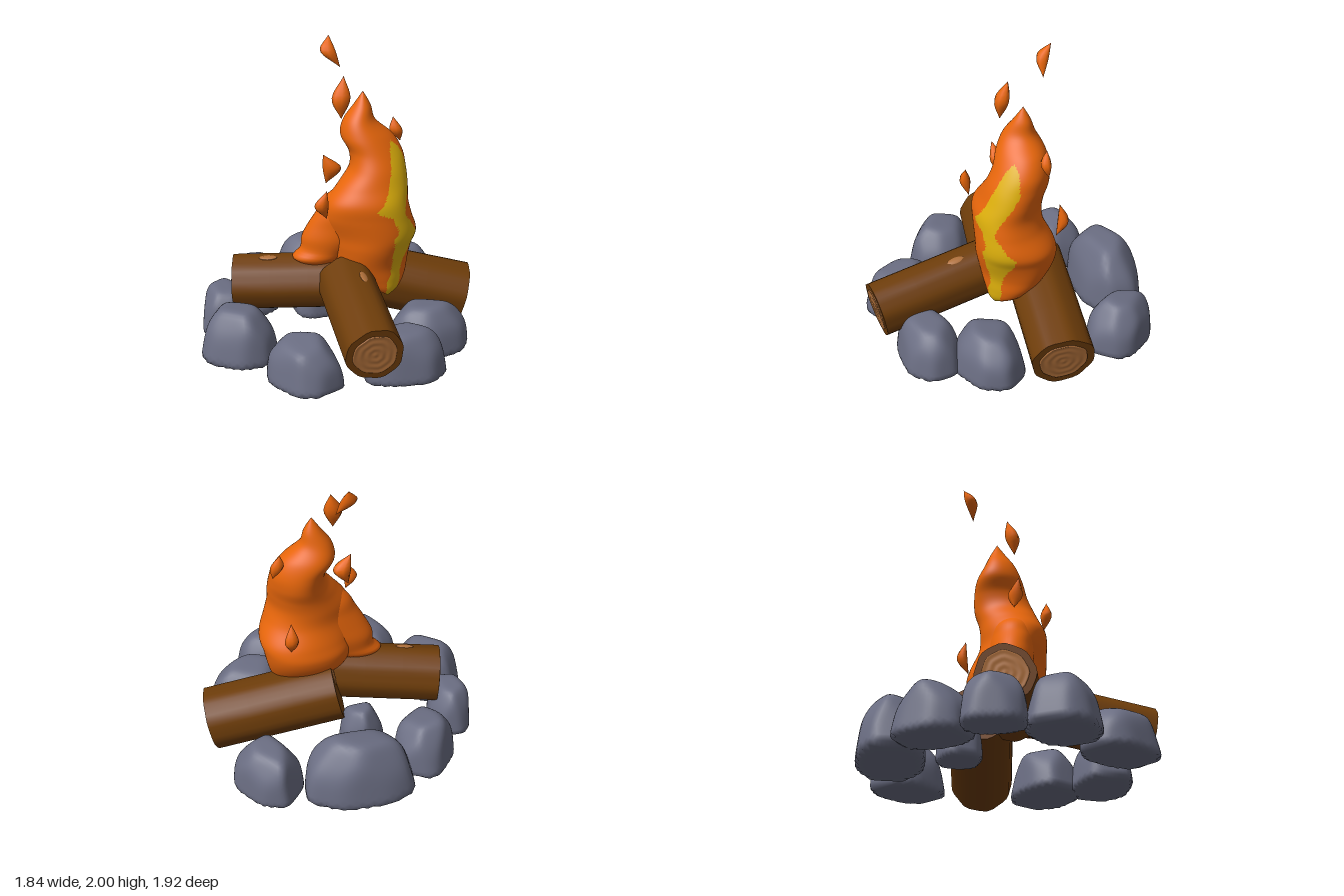
import * as THREE from 'three';
import { mergeVertices, toCreasedNormals } from 'three/addons/utils/BufferGeometryUtils.js';

const paint = (name, color, side = THREE.FrontSide) => {
  const m = new THREE.MeshStandardMaterial({ color, side });
  m.name = name;
  return m;
};

function seeded(seed) {
  let s = seed * 7919 + 13;
  return () => (s = (s * 16807) % 2147483647) / 2147483647;
}

// Interpolates table rows whose first number is the height
function table(rows, Kind) {
  const n = rows[0].length - 1;
  return new Kind(new Float32Array(rows.map(r => r[0])), new Float32Array(rows.flatMap(r => r.slice(1))), n);
}

// Closed skin through rows of [y, xMin, xMax, zMin, zMax]; faces where inPatch is true go to material 1
function loft(rows, segs, steps, ripple = 0, inPatch = () => false) {
  const curve = table(rows, THREE.CubicInterpolant);
  const y0 = rows[0][0], y1 = rows[rows.length - 1][0];
  const pos = [], faces = [[], []];
  for (let i = 0; i <= steps; i++) {
    const y = y0 + (y1 - y0) * i / steps;
    const [xa, xb, za, zb] = curve.evaluate(Math.min(y, y1 - 1e-5));
    const rx = Math.max(0, xb - xa) / 2, rz = Math.max(0, zb - za) / 2;
    for (let j = 0; j < segs; j++) {
      const a = j / segs * Math.PI * 2;
      const f = 1 + ripple * Math.sin(3 * a + 6 * y);
      pos.push((xa + xb) / 2 + rx * f * Math.cos(a), y, (za + zb) / 2 + rz * f * Math.sin(a));
    }
  }
  for (let i = 0; i < steps; i++) for (let j = 0; j < segs; j++) {
    const k = (j + 1) % segs;
    const a = i * segs + j, b = i * segs + k, c = a + segs, d = b + segs;
    for (const t of [[a, c, b], [b, c, d]]) {
      const mid = [0, 1, 2].map(n => t.reduce((s, v) => s + pos[v * 3 + n], 0) / 3);
      faces[inPatch(...mid) ? 1 : 0].push(...t);
    }
  }
  const g = new THREE.BufferGeometry();
  g.setAttribute('position', new THREE.Float32BufferAttribute(pos, 3));
  g.setIndex([...faces[0], ...faces[1]]);
  g.addGroup(0, faces[0].length, 0);
  g.addGroup(faces[0].length, faces[1].length, 1);
  g.computeVertexNormals();
  return g;
}

// Rounded boulder: a sphere pressed against side, bevel, top and bottom planes, fitted to its footprint
function stoneGeometry([x0, x1, z0, z1, h, turn, aspect], seed) {
  const rnd = seeded(seed);
  const planes = [[0, -1, 0, 0.42], [0.3 * (rnd() - 0.5), 1, 0.3 * (rnd() - 0.5), 0.8]];
  for (let k = 0; k < 8; k++) {
    const a = (k + 0.35 * (rnd() - 0.5)) / 8 * Math.PI * 2;
    planes.push([Math.cos(a), 0.05 + 0.22 * rnd(), Math.sin(a), 0.92 + (k % 2) * 0.08 + 0.08 * rnd()]);
  }
  for (let k = 0; k < 5; k++) {
    const a = (k + 0.6 * rnd()) / 5 * Math.PI * 2;
    planes.push([0.74 * Math.cos(a), 0.67, 0.74 * Math.sin(a), 0.86 + 0.1 * rnd()]);
  }
  let g = new THREE.IcosahedronGeometry(1, 9);
  g.deleteAttribute('uv');
  g.deleteAttribute('normal');
  g = mergeVertices(g, 1e-4);
  const p = g.attributes.position, v = new THREE.Vector3();
  for (let i = 0; i < p.count; i++) {
    v.fromBufferAttribute(p, i).normalize();
    const sum = planes.reduce((s, [a, b, c, d]) => s + Math.max(0, (v.x * a + v.y * b + v.z * c) / d) ** 14, 0);
    v.multiplyScalar(sum ** (-1 / 14));
    p.setXYZ(i, v.x, v.y, v.z);
  }
  g.scale(aspect, 1, 1).rotateY(turn);
  g.computeBoundingBox();
  const { min, max } = g.boundingBox;
  const fit = (t, a, b, c, d) => c + (t - a) / (b - a) * (d - c);
  for (let i = 0; i < p.count; i++) {
    p.setXYZ(i, fit(p.getX(i), min.x, max.x, x0, x1),
      fit(p.getY(i), min.y, max.y, 0.01, h), fit(p.getZ(i), min.z, max.z, z0, z1));
  }
  g.computeVertexNormals();
  return g;
}

// Makes a round section uneven, and lays its axis along z
function barkWarp(g, phase) {
  const p = g.attributes.position;
  for (let i = 0; i < p.count; i++) {
    const a = Math.atan2(p.getZ(i), p.getX(i));
    const f = 0.98 + 0.025 * Math.sin(3 * a + phase) + 0.02 * Math.sin(8 * a + phase * 2);
    p.setX(i, p.getX(i) * f);
    p.setZ(i, p.getZ(i) * f);
  }
  return g.rotateX(Math.PI / 2);
}

export function createModel() {
  const root = new THREE.Group();
  root.name = 'campfire';
  const stone = paint('stone grey', 0x6b6e83);
  const bark = paint('bark brown', 0x6e3d0a);
  const wood = paint('cut wood', 0xae6f3a);
  const flame = paint('flame orange', 0xe8660b, THREE.DoubleSide);
  const glow = paint('flame yellow', 0xdeb00c, THREE.DoubleSide);

  const add = (parent, name, geometry, material) => {
    const m = new THREE.Mesh(geometry, material);
    m.name = name;
    parent.add(m);
    return m;
  };

  // Ring of stones: xMin, xMax, zMin, zMax, height, turn, stretch
  [
    [-0.41, 0.31, -0.96, -0.52, 0.44, 0.1, 1.6],
    [0.31, 0.76, -0.88, -0.39, 0.36, -0.8, 1.2],
    [-0.73, -0.31, -0.73, -0.23, 0.36, 1.0, 1.2],
    [-0.91, -0.6, -0.33, 0.07, 0.33, 1.5, 1.2],
    [-0.92, -0.42, 0.05, 0.52, 0.36, -0.5, 1.15],
    [-0.51, -0.03, 0.41, 0.92, 0.31, -0.8, 1.3],
    [0.1, 0.64, 0.43, 0.82, 0.33, 0.2, 1.3],
    [0.28, 0.85, 0.05, 0.51, 0.33, 0.5, 1.2],
    [-0.28, 0.03, -0.46, -0.17, 0.34, 0.3, 1.0],
  ].forEach((s, i) => add(root, 'stone' + (i + 1), stoneGeometry(s, i + 3), stone));

  // Logs: inner end, outer end, radius, and the knot's angle from the top and place along the log
  [
    ['leftLog', [0.06, 0.41, 0.04], [-0.685, 0.375, -0.065], 0.19, [0.16, 0.14]],
    ['rightLog', [0.02, 0.405, -0.18], [0.87, 0.2, -0.135], 0.21, null],
    ['frontLog', [0.04, 0.45, 0.12], [0.145, 0.31, 0.92], 0.187, [0.33, -0.17]],
  ].forEach(([name, from, to, r, knotAt], i) => {
    const a = new THREE.Vector3(...from), b = new THREE.Vector3(...to);
    const length = a.distanceTo(b);
    const log = new THREE.Group();
    log.name = name;
    log.position.copy(a).add(b).multiplyScalar(0.5);
    log.lookAt(b);
    root.add(log);
    const body = barkWarp(new THREE.CylinderGeometry(r, r, length, 32, 3), i * 2 + 1);
    add(log, 'bark', toCreasedNormals(body, 0.7), bark);
    // Cut face with shallow growth rings
    const rings = [new THREE.Vector2(r * 0.77, -0.002)];
    for (let k = 0; k <= 24; k++) {
      rings.push(new THREE.Vector2(r * 0.76 * (1 - k / 24), 0.005 + 0.0012 * Math.cos(k / 24 * Math.PI * 6)));
    }
    add(log, 'cutEnd', barkWarp(new THREE.LatheGeometry(rings, 32), i * 2 + 1), wood).position.z = length / 2;
    const knot = add(log, 'knot', new THREE.SphereGeometry(1, 20, 10), wood);
    if (knotAt) {
      const [t, z] = knotAt;
      knot.scale.set(0.026, 0.01, 0.06);
      knot.position.set(r * 0.985 * Math.sin(t), r * 0.985 * Math.cos(t), z);
      knot.rotation.z = -t;
    } else {
      // Torn patch on the inner end
      knot.scale.set(0.05, 0.07, 0.008);
      knot.position.set(0, r * 0.5, -length / 2);
    }
  });

  // Main flame, with the yellow glow bounded by least x and least z at each height
  const edge = table([
    [0.3, 0.3, 0.15], [0.45, 0.31, 0.14], [0.5, 0.33, 0.14], [0.6, 0.34, 0.13], [0.72, 0.35, 0.08],
    [0.77, 0.35, 0.07], [0.82, 0.38, 0.13], [0.92, 0.34, 0.19], [0.97, 0.22, 0.18], [1.02, 0.28, 0.15],
    [1.1, 0.31, 0.09], [1.2, 0.33, 0.03], [1.34, 0.33, 0.02], [1.4, 0.34, 0.04],
  ], THREE.LinearInterpolant);
  const isGlow = (x, y, z) => {
    if (y > 1.385) return false;
    const [x0, z0] = edge.evaluate(y);
    return x > x0 && z > z0;
  };
  const fire = loft([
    [0.34, 0.32, 0.32, 0.16, 0.16], [0.38, 0.22, 0.39, 0.0, 0.19], [0.45, 0.1, 0.44, -0.12, 0.205],
    [0.55, -0.04, 0.47, -0.22, 0.22], [0.68, -0.08, 0.505, -0.27, 0.25], [0.76, -0.08, 0.53, -0.25, 0.26],
    [0.9, -0.09, 0.485, -0.18, 0.27], [1.0, -0.07, 0.455, -0.17, 0.27], [1.1, 0.0, 0.45, -0.18, 0.23],
    [1.2, 0.07, 0.44, -0.21, 0.19], [1.3, 0.07, 0.42, -0.22, 0.14], [1.4, 0.02, 0.36, -0.21, 0.1],
    [1.5, 0.04, 0.25, -0.16, 0.05], [1.6, 0.11, 0.22, -0.12, -0.01], [1.69, 0.17, 0.17, -0.07, -0.07],
  ], 96, 90, 0.035, isGlow);
  add(root, 'mainFlame', fire, [flame, glow]);

  // Side tongue licking over the left log
  add(root, 'sideFlame', loft([
    [0.5, -0.15, -0.15, 0.03, 0.03], [0.58, -0.3, 0.04, -0.09, 0.13], [0.64, -0.25, 0.1, -0.11, 0.14],
    [0.73, -0.235, 0.2, -0.13, 0.16], [0.82, -0.19, 0.28, -0.13, 0.17], [0.92, -0.13, 0.3, -0.12, 0.18],
    [1.02, -0.07, 0.3, -0.1, 0.16], [1.16, 0.15, 0.15, 0.02, 0.02],
  ], 40, 36, 0.02), [flame, glow]);

  // Loose sparks: bottom tip, middle, top tip, half width
  [
    [[0.04, 1.8, -0.24], [-0.04, 1.91, -0.26], [-0.03, 2.0, -0.31], 0.05],
    [[0.02, 1.54, 0.04], [0.02, 1.67, 0.025], [0.04, 1.81, -0.01], 0.06],
    [[0.43, 1.31, -0.16], [0.4, 1.39, -0.15], [0.38, 1.48, -0.16], 0.042],
    [[0.33, 0.79, -0.25], [0.33, 0.9, -0.295], [0.33, 1.03, -0.27], 0.045],
    [[-0.08, 1.1, 0.03], [-0.04, 1.21, 0.04], [-0.1, 1.31, 0.06], 0.06],
    [[-0.09, 0.93, 0.22], [-0.125, 1.02, 0.235], [-0.09, 1.13, 0.24], 0.045],
  ].forEach(([lo, mid, hi, w], i) => {
    const row = ([x, y, z], r) => [y, x - r, x + r, z - r * 0.8, z + r * 0.8];
    add(root, 'spark' + (i + 1), loft([row(lo, 0), row(mid, w), row(hi, 0)], 8, 10), [flame, glow]);
  });

  return root;
}
